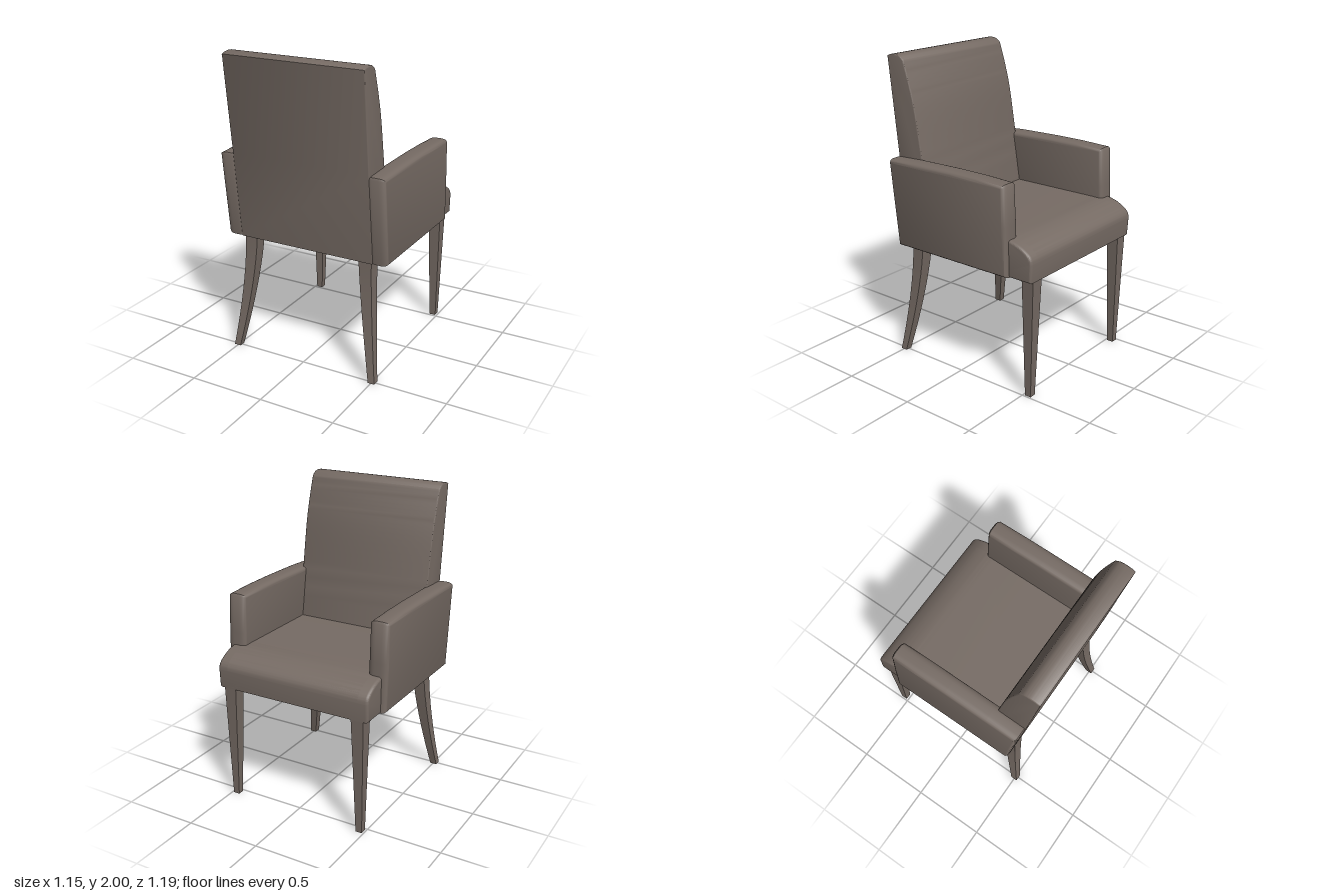
import * as THREE from 'three';
import { toCreasedNormals } from 'three/addons/utils/BufferGeometryUtils.js';

const fabric = new THREE.MeshStandardMaterial({ color: 0x766b64 });
fabric.name = 'taupe';

// Side outline in (z, y), swept across x from x0 to x1 with rounded edges
function sidePanel(name, shape, x0, x1, bevelX, bevelSize, crease = 0.6) {
  const geo = new THREE.ExtrudeGeometry(shape, {
    depth: x1 - x0 - 2 * bevelX, steps: 1, curveSegments: 5,
    bevelEnabled: bevelX > 0, bevelThickness: bevelX, bevelSize,
    bevelOffset: -bevelSize, bevelSegments: 4,
  });
  geo.rotateY(Math.PI / 2);
  geo.translate(x0 + bevelX, 0, 0);
  const mesh = new THREE.Mesh(toCreasedNormals(geo, crease), fabric);
  mesh.name = name;
  return mesh;
}

const pts = (list) => list.map(([z, y]) => new THREE.Vector2(-z, y));

// Tapered square leg whose centre line follows a rule; t is 0 at the top, 1 at the foot
function leg(name, side, top, foot, wTop, wFoot, power) {
  const height = 0.79;
  const geo = new THREE.BoxGeometry(1, height, 1, 1, 10, 1);
  const p = geo.attributes.position;
  for (let i = 0; i < p.count; i++) {
    const y = p.getY(i) + height / 2;
    const t = THREE.MathUtils.clamp(1 - y / height, 0, 1);
    const bend = Math.pow(t, power);
    const w = THREE.MathUtils.lerp(wTop, wFoot, t);
    p.setXYZ(i,
      side * THREE.MathUtils.lerp(top[0], foot[0], bend) + p.getX(i) * w,
      y,
      THREE.MathUtils.lerp(top[1], foot[1], bend) + p.getZ(i) * w);
  }
  geo.computeVertexNormals();
  const mesh = new THREE.Mesh(geo, fabric);
  mesh.name = name;
  return mesh;
}

export function createModel() {
  const chair = new THREE.Group();
  chair.name = 'armchair';

  // Backrest: flat raked rear, bowed front, running down to the frame
  const back = new THREE.Shape();
  const rear = pts([[0.27, 0.78], [0.46, 0.78], [0.525, 1.36], [0.595, 1.985]]);
  back.moveTo(rear[0].x, rear[0].y);
  rear.slice(1).forEach((v) => back.lineTo(v.x, v.y));
  back.splineThru(pts([[0.575, 1.994], [0.53, 2.0], [0.49, 1.993], [0.46, 1.97]]));
  back.splineThru(pts([[0.412, 1.82], [0.37, 1.65], [0.322, 1.36], [0.265, 1.0]]));
  back.closePath();
  chair.add(sidePanel('backrest', back, -0.475, 0.475, 0.01, 0.008));

  // Seat cushion between the arms and its wider rounded front lip
  const seatOutline = (zBack) => {
    const s = new THREE.Shape();
    const start = pts([[zBack, 0.78], [-0.585, 0.78], [-0.592, 0.9]]);
    s.moveTo(start[0].x, start[0].y);
    start.slice(1).forEach((v) => s.lineTo(v.x, v.y));
    s.splineThru(pts([[-0.585, 0.93], [-0.56, 0.96], [-0.5, 0.995], [-0.43, 1.015], [-0.36, 1.02]]));
    const end = pts([[zBack, 1.02]])[0];
    s.lineTo(end.x, end.y);
    s.closePath();
    return s;
  };
  chair.add(sidePanel('seatCushion', seatOutline(0.33), -0.47, 0.47, 0, 0));
  chair.add(sidePanel('seatFrontLip', seatOutline(-0.34), -0.54, 0.54, 0.02, 0.015));

  for (const side of [1, -1]) {
    const label = side > 0 ? 'left' : 'right';

    // Padded arm panel, flush with the rear of the backrest
    const arm = new THREE.Shape(pts([
      [0.46, 0.782], [0.522, 1.335], [0.515, 1.35], [0.3, 1.36], [0, 1.364],
      [-0.2, 1.362], [-0.4, 1.354], [-0.41, 1.34], [-0.422, 1.1], [-0.43, 0.782],
    ]));
    const [a, b] = side > 0 ? [0.448, 0.575] : [-0.575, -0.448];
    chair.add(sidePanel(label + 'Arm', arm, a, b, 0.042, 0.022, 0.8));

    // Straight tapered front legs and splayed curved rear legs
    chair.add(leg(label + 'FrontLeg', side, [0.462, -0.537], [0.468, -0.535], 0.085, 0.043, 1));
    chair.add(leg(label + 'RearLeg', side, [0.412, 0.4], [0.503, 0.499], 0.088, 0.045, 1.5));
  }
  return chair;
}
